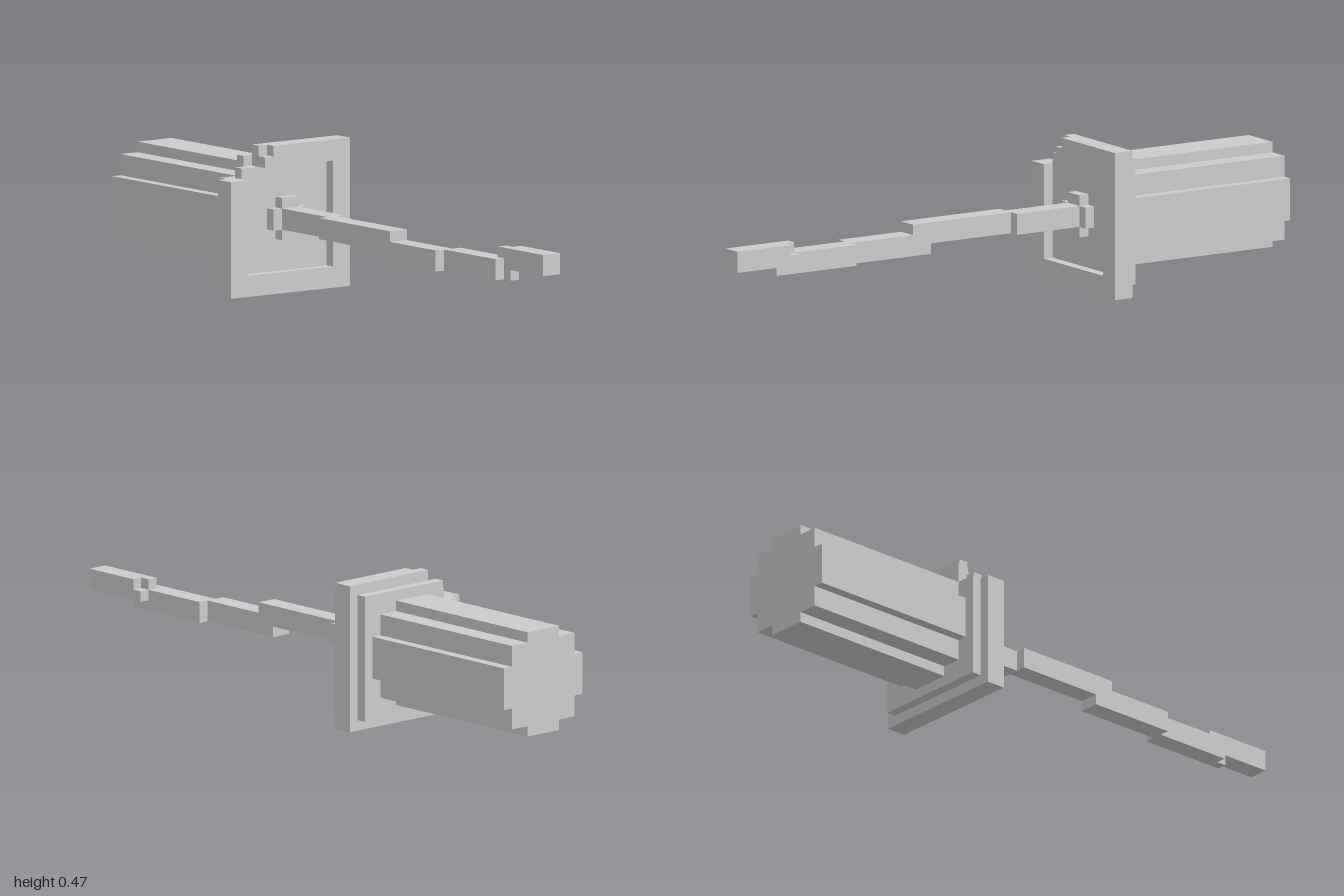
import * as THREE from 'three';

const U = 1 / 30; // one block of the model's grid
const material = new THREE.MeshStandardMaterial({ color: 0xcccccc, flatShading: true });

function addMesh(parent, name, geometry) {
  const mesh = new THREE.Mesh(geometry, material);
  mesh.name = name;
  parent.add(mesh);
}

// Box from its limits in blocks
function box(parent, name, [x0, x1], [y0, y1], [z0, z1]) {
  const g = new THREE.BoxGeometry((x1 - x0) * U, (y1 - y0) * U, (z1 - z0) * U);
  g.translate((x0 + x1) / 2 * U, (y0 + y1) / 2 * U, (z0 + z1) / 2 * U);
  addMesh(parent, name, g);
}

// Outline of [z, y] corners in blocks, extruded along x
function prism(parent, name, outline, x0, x1) {
  const shape = new THREE.Shape(outline.map(([z, y]) => new THREE.Vector2(-z * U, y * U)));
  const g = new THREE.ExtrudeGeometry(shape, { depth: (x1 - x0) * U, bevelEnabled: false });
  g.rotateY(Math.PI / 2).translate(x0 * U, 0, 0);
  addMesh(parent, name, g);
}

// Stepped circle: one quarter of corners mirrored around the centre
function steppedCircle(quarter, centreY) {
  const back = [...quarter].reverse();
  return [
    ...quarter,
    ...back.map(([z, y]) => [-z, y]),
    ...quarter.map(([z, y]) => [-z, -y]),
    ...back.map(([z, y]) => [z, -y]),
  ].map(([z, y]) => [z, y + centreY]);
}

export function createModel() {
  const model = new THREE.Group();

  // Barrel
  prism(model, 'barrel', steppedCircle([[5, 2], [4, 2], [4, 4], [2, 4], [2, 5]], 7), -30, -12);

  // Collar behind the rim, with a broken top front corner
  prism(model, 'collar', [[6, 1], [6, 11], [4, 11], [4, 13], [-6, 13], [-6, 1]], -12, -11);

  // Raised rim, broken at the same corner, and its recessed end plate
  prism(model, 'rim', [[7, 0], [7, 11], [5, 11], [5, 2], [-5, 2], [-5, 12],
    [3, 12], [3, 13], [2, 13], [2, 14], [-7, 14], [-7, 0]], -11, -9);
  box(model, 'rimChip', [-11, -10], [13, 14], [2, 3]);
  box(model, 'endPlate', [-11, -10], [2, 12], [-5, 5]);

  // Cross-shaped socket in the recess
  prism(model, 'fuseSocket', steppedCircle([[2, 1], [1, 1], [1, 2]], 7), -10, -9);

  // Crooked fuse made of offset straight lengths
  const fuse = new THREE.Group();
  fuse.name = 'fuse';
  model.add(fuse);
  const lengths = [
    [[-9, -2], [6, 8], [-1, 1]],
    [[-2, 9], [6, 8], [0, 2]],
    [[7, 9], [5, 6], [0, 2]],
    [[9, 16], [5, 7], [0, 2]],
    [[16, 24], [5, 7], [-1, 1]],
  ];
  lengths.forEach((l, i) => box(fuse, `fuseLength${i + 1}`, ...l));

  // Fuse tip with a notched joint
  box(fuse, 'fuseTip', [24, 30], [6, 8], [-2, 0]);
  box(fuse, 'tipJointUpper', [23, 24], [7, 8], [-1, 0]);
  box(fuse, 'tipJointBack', [23, 24], [6, 7], [-2, -1]);
  box(fuse, 'tipJointLower', [24, 25], [5, 6], [-1, 0]);

  return model;
}
